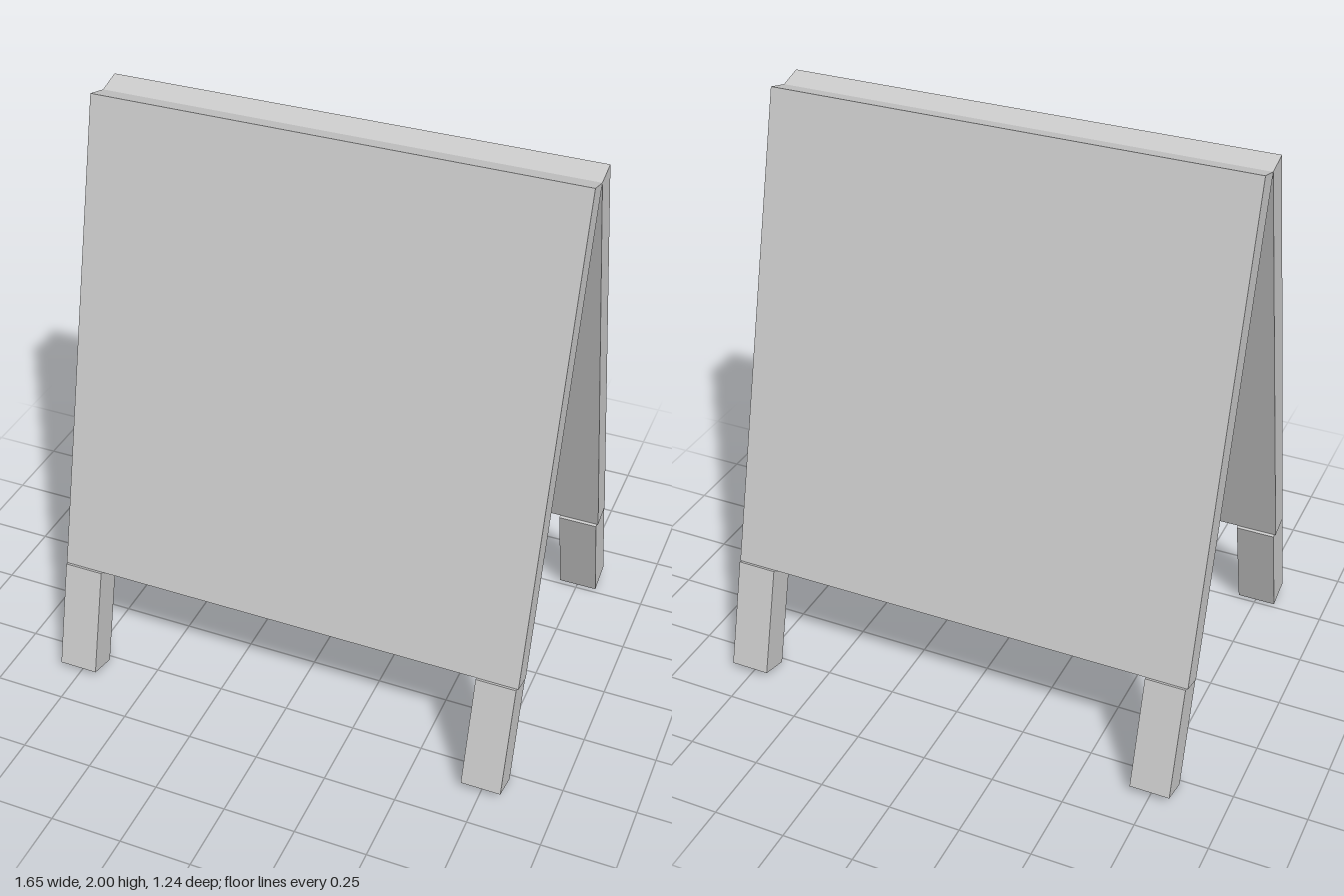
import * as THREE from 'three';

const TILT = THREE.MathUtils.degToRad(15);
const HINGE_Y = 1.9785;          // inner top edges of both boards meet here
const BOARD = { w: 1.65, h: 1.655, d: 0.083 };
const LEG = { w: 0.137, h: 0.39, d: 0.106, x: 0.752 };

export function createModel() {
  const model = new THREE.Group();
  model.name = 'sandwichBoard';
  const material = new THREE.MeshStandardMaterial({ color: 0xcccccc, flatShading: true });

  const addBox = (parent, name, { w, h, d }, x, y, z) => {
    const mesh = new THREE.Mesh(new THREE.BoxGeometry(w, h, d), material);
    mesh.name = name;
    mesh.position.set(x, y, z);
    parent.add(mesh);
  };

  // One leaning side, hanging from the hinge line, with its outer face towards +z
  const makeSide = (name) => {
    const lean = new THREE.Group();
    lean.position.y = HINGE_Y;
    lean.rotation.x = -TILT;
    addBox(lean, name + 'Board', BOARD, 0, -BOARD.h / 2, BOARD.d / 2);
    // Legs are slightly thicker than the board and start at its lower edge
    for (const s of [-1, 1]) {
      addBox(lean, name + (s > 0 ? 'LegA' : 'LegB'), LEG, s * LEG.x, -BOARD.h - LEG.h / 2, BOARD.d / 2);
    }
    const side = new THREE.Group();
    side.name = name + 'Side';
    side.add(lean);
    return side;
  };

  const front = makeSide('front');
  const back = makeSide('back');
  back.rotation.y = Math.PI;
  model.add(front, back);
  return model;
}
